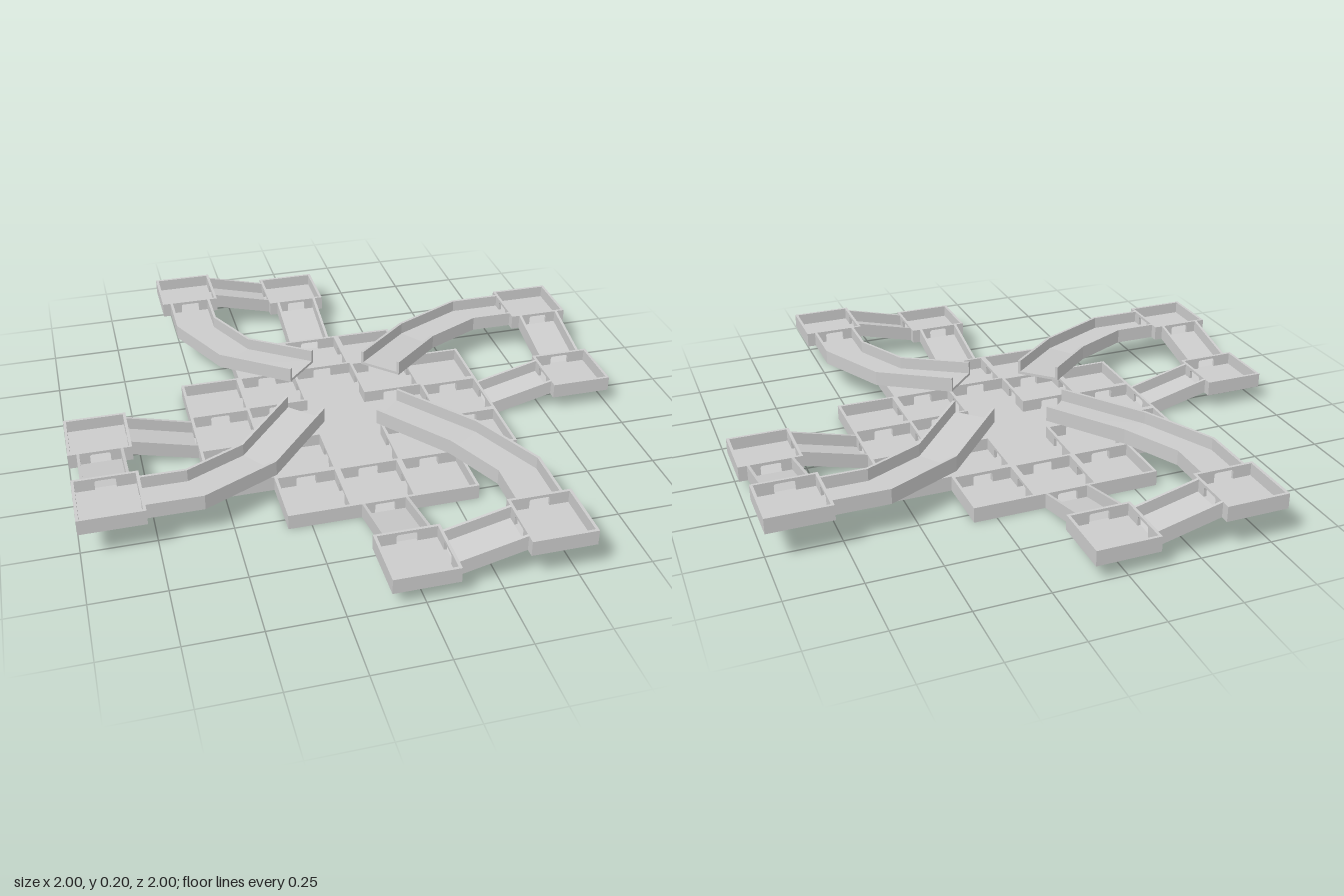
import * as THREE from 'three';

const CELL = 0.22, H = 0.054, T = 0.01;
const LEVEL1 = 0.058, LEVEL2 = 0.112, TOP = 0.143;
const mat = new THREE.MeshStandardMaterial({ color: 0xcccccc, flatShading: true });

function add(parent, geometry, name) {
  const mesh = new THREE.Mesh(geometry, mat);
  mesh.name = name;
  parent.add(mesh);
  return mesh;
}

// Upright wall, optionally with a doorway with rounded upper corners
function wallGeometry(length, door) {
  const l = length / 2, s = new THREE.Shape();
  s.moveTo(-l, 0);
  if (door) {
    const w = 0.035, top = 0.044, r = 0.008;
    s.lineTo(-w, 0);
    s.lineTo(-w, T);
    s.lineTo(-w, top - r);
    s.quadraticCurveTo(-w, top, -w + r, top);
    s.lineTo(w - r, top);
    s.quadraticCurveTo(w, top, w, top - r);
    s.lineTo(w, 0);
  }
  s.lineTo(l, 0);
  s.lineTo(l, H);
  s.lineTo(-l, H);
  return new THREE.ExtrudeGeometry(s, { depth: T, bevelEnabled: false, curveSegments: 3 });
}

// Open-topped square room; doors are flags for the sides +z, +x, -z, -x
function room(parent, x, y, z, doors, name) {
  const g = new THREE.Group();
  g.name = name;
  g.position.set(x, y, z);
  add(g, new THREE.BoxGeometry(CELL, T, CELL), 'roomFloor').position.y = T / 2;
  doors.forEach((door, i) => {
    const side = new THREE.Group();
    side.name = 'roomSide';
    side.rotation.y = (i * Math.PI) / 2;
    add(side, wallGeometry(CELL, door), 'roomWall').position.z = CELL / 2 - T;
    g.add(side);
  });
  parent.add(g);
}

// U-shaped walkway swept along a path with mitred bends
function walkwayGeometry(path, w = 0.08) {
  const profile = [[-w, 0], [w, 0], [w, H], [w - T, H], [w - T, T], [T - w, T], [T - w, H], [-w, H]];
  const pts = path.map((p) => new THREE.Vector3(...p));
  const dirs = pts.slice(1).map((p, i) => p.clone().sub(pts[i]).setY(0).normalize());
  const sections = pts.map((p, i) => {
    const a = dirs[Math.max(i - 1, 0)], b = dirs[Math.min(i, dirs.length - 1)];
    const d = a.clone().add(b).normalize();
    const stretch = 1 / d.dot(a);
    return profile.map(([u, v]) =>
      new THREE.Vector3(p.x - d.z * u * stretch, p.y + v, p.z + d.x * u * stretch));
  });
  const out = [];
  const quad = (a, b, c, d) => [a, b, c, a, c, d].forEach((v) => out.push(v.x, v.y, v.z));
  for (let i = 0; i < sections.length - 1; i++) {
    const s = sections[i], n = sections[i + 1];
    for (let j = 0; j < 8; j++) {
      const k = (j + 1) % 8;
      quad(s[j], n[j], n[k], s[k]);
    }
  }
  const first = sections[0], last = sections[sections.length - 1];
  for (const [a, b, c, d] of [[0, 1, 4, 5], [1, 2, 3, 4], [0, 5, 6, 7]]) {
    quad(first[a], first[b], first[c], first[d]);
    quad(last[d], last[c], last[b], last[a]);
  }
  const g = new THREE.BufferGeometry();
  g.setAttribute('position', new THREE.Float32BufferAttribute(out, 3));
  g.computeVertexNormals();
  return g;
}

// One arm: ramp out, lower room, ramp sideways, upper room, walkway back over the centre
function arm() {
  const g = new THREE.Group();
  g.name = 'arm';
  add(g, walkwayGeometry([[0, 0, 0.55], [0, LEVEL1, 0.78]]), 'outerRamp');
  room(g, 0, LEVEL1, 0.89, [false, true, true, false], 'lowerRoom');
  add(g, walkwayGeometry([[0.11, LEVEL1, 0.89], [0.33, LEVEL2, 0.89]]), 'sideRamp');
  room(g, 0.44, LEVEL2, 0.89, [false, false, true, true], 'upperRoom');
  add(g, walkwayGeometry([
    [0.44, LEVEL2, 0.78], [0.44, LEVEL2, 0.61], [0.33, LEVEL2, 0.38], [0.115, TOP, 0.17],
  ]), 'returnWalkway');
  return g;
}

export function createModel() {
  const model = new THREE.Group();
  model.name = 'roomComplex';

  // Ground floor: 5 x 5 cells without corners, with a cross-shaped open hall in the middle
  const inside = (i, j) => Math.abs(i) <= 2 && Math.abs(j) <= 2 && Math.abs(i) + Math.abs(j) < 4;
  const opens = (i, j) => inside(i, j) || i === 0 || j === 0;
  for (let i = -2; i <= 2; i++) {
    for (let j = -2; j <= 2; j++) {
      if (!inside(i, j)) continue;
      if (Math.abs(i) + Math.abs(j) <= 1) {
        add(model, new THREE.BoxGeometry(CELL, T, CELL), 'hallFloor').position.set(i * CELL, T / 2, j * CELL);
      } else {
        const doors = [opens(i, j + 1), opens(i + 1, j), opens(i, j - 1), opens(i - 1, j)];
        room(model, i * CELL, 0, j * CELL, doors, 'groundRoom');
      }
    }
  }

  // Four arms, turned about the centre
  for (let k = 0; k < 4; k++) {
    const a = arm();
    a.rotation.y = (k * Math.PI) / 2;
    model.add(a);
  }
  return model;
}
